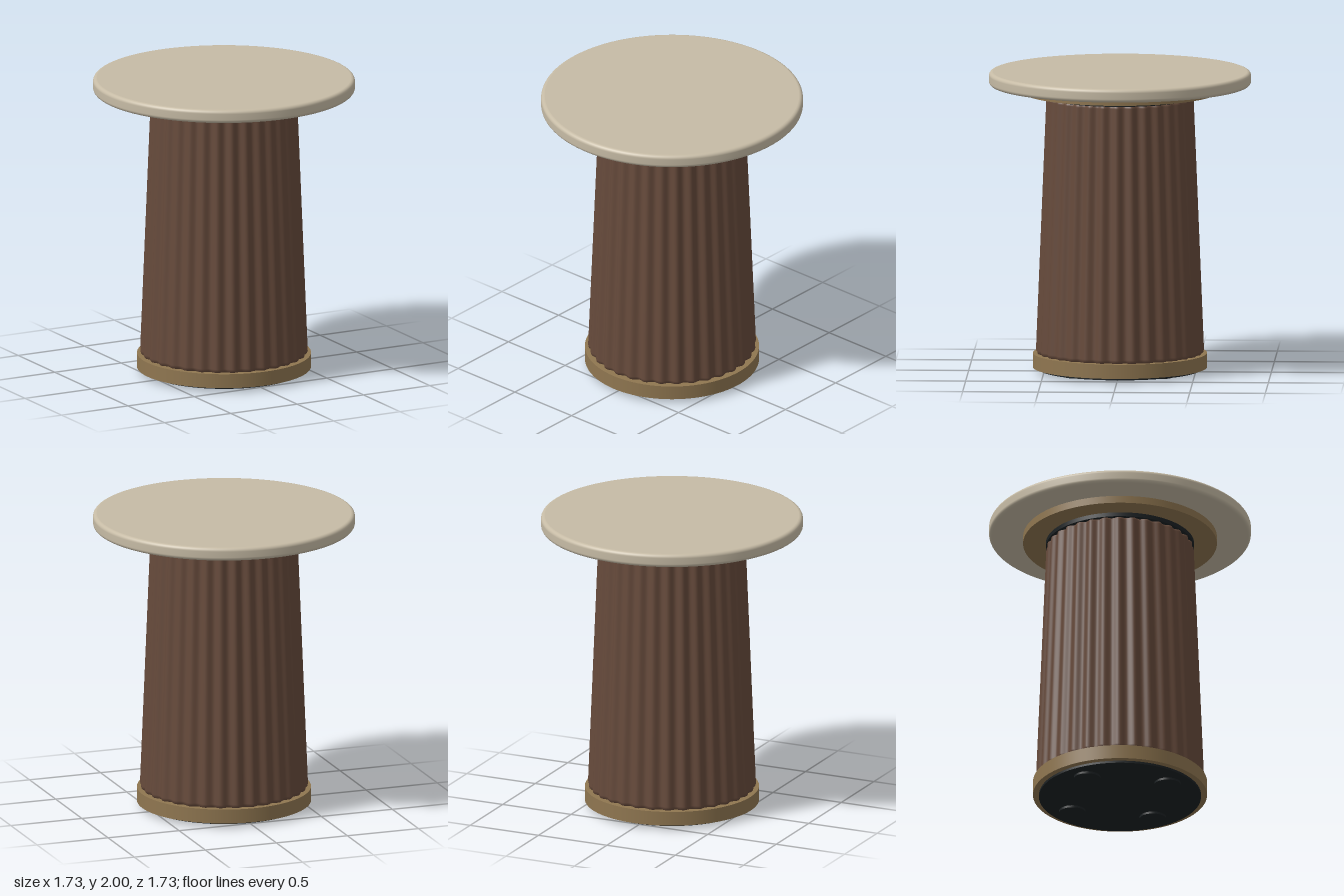
import * as THREE from 'three';

const mat = (name, color) => {
  const m = new THREE.MeshStandardMaterial({ color });
  m.name = name;
  return m;
};

export function createModel() {
  const group = new THREE.Group();
  const stone = mat('warm stone', 0xc6bba5);
  const brass = mat('aged brass', 0x8f7650);
  const wood = mat('walnut', 0x664a3b);
  const dark = mat('charcoal', 0x1c2123);

  const add = (name, geometry, material, x = 0, y = 0, z = 0) => {
    const mesh = new THREE.Mesh(geometry, material);
    mesh.name = name;
    mesh.position.set(x, y, z);
    group.add(mesh);
  };
  const disc = (name, r, y0, y1, material, x = 0, z = 0, sides = 96) =>
    add(name, new THREE.CylinderGeometry(r, r, y1 - y0, sides), material, x, (y0 + y1) / 2, z);

  // Table top: flat faces with a rounded rim
  const R = 0.865, e = 0.025, y0 = 1.91, y1 = 2;
  const rim = [];
  for (let i = 0; i <= 6; i++) {
    const a = -Math.PI / 2 + (i / 6) * Math.PI / 2;
    rim.push(new THREE.Vector2(R - e + e * Math.cos(a), y0 + e + e * Math.sin(a)));
  }
  for (let i = 0; i <= 6; i++) {
    const a = (i / 6) * Math.PI / 2;
    rim.push(new THREE.Vector2(R - e + e * Math.cos(a), y1 - e + e * Math.sin(a)));
  }
  add('tableTopRim', new THREE.LatheGeometry(rim, 128), stone);
  const face = new THREE.CircleGeometry(R - e, 128);
  add('tableTopFace', face.clone().rotateX(-Math.PI / 2), stone, 0, y1);
  add('tableTopUnderside', face.clone().rotateX(Math.PI / 2), stone, 0, y0);

  // Support plate and shadow-gap collar
  disc('supportPlate', 0.64, 1.86, 1.912, brass);
  disc('collar', 0.49, 1.832, 1.862, dark);

  // Fluted, tapered column with softened ends
  const flutes = 32, perFlute = 10, depth = 0.01;
  const profile = [[0.528, 0.12], [0.54, 0.132], [0.545, 0.15], [0.477, 1.815], [0.474, 1.828], [0.464, 1.836]]
    .map(([r, y]) => new THREE.Vector2(r, y));
  const column = new THREE.LatheGeometry(profile, flutes * perFlute);
  const p = column.attributes.position;
  for (let i = 0; i < p.count; i++) {
    const x = p.getX(i), z = p.getZ(i), r = Math.hypot(x, z);
    const k = (r + depth * Math.cos(flutes * Math.atan2(x, z))) / r;
    p.setX(i, x * k);
    p.setZ(i, z * k);
  }
  column.computeVertexNormals();
  // Match normals across the lathe seam
  const n = column.attributes.normal, rows = profile.length, last = flutes * perFlute * rows;
  for (let j = 0; j < rows; j++) {
    const v = new THREE.Vector3().fromBufferAttribute(n, j)
      .add(new THREE.Vector3().fromBufferAttribute(n, last + j)).normalize();
    n.setXYZ(j, v.x, v.y, v.z);
    n.setXYZ(last + j, v.x, v.y, v.z);
  }
  add('flutedColumn', column, wood);

  // Base ring, bottom plate and four feet
  disc('baseRing', 0.575, 0.03, 0.125, brass);
  disc('bottomPlate', 0.535, 0.015, 0.032, dark);
  for (const x of [-0.27, 0.27])
    for (const z of [-0.27, 0.27]) disc('foot', 0.088, 0, 0.02, dark, x, z, 32);

  return group;
}
